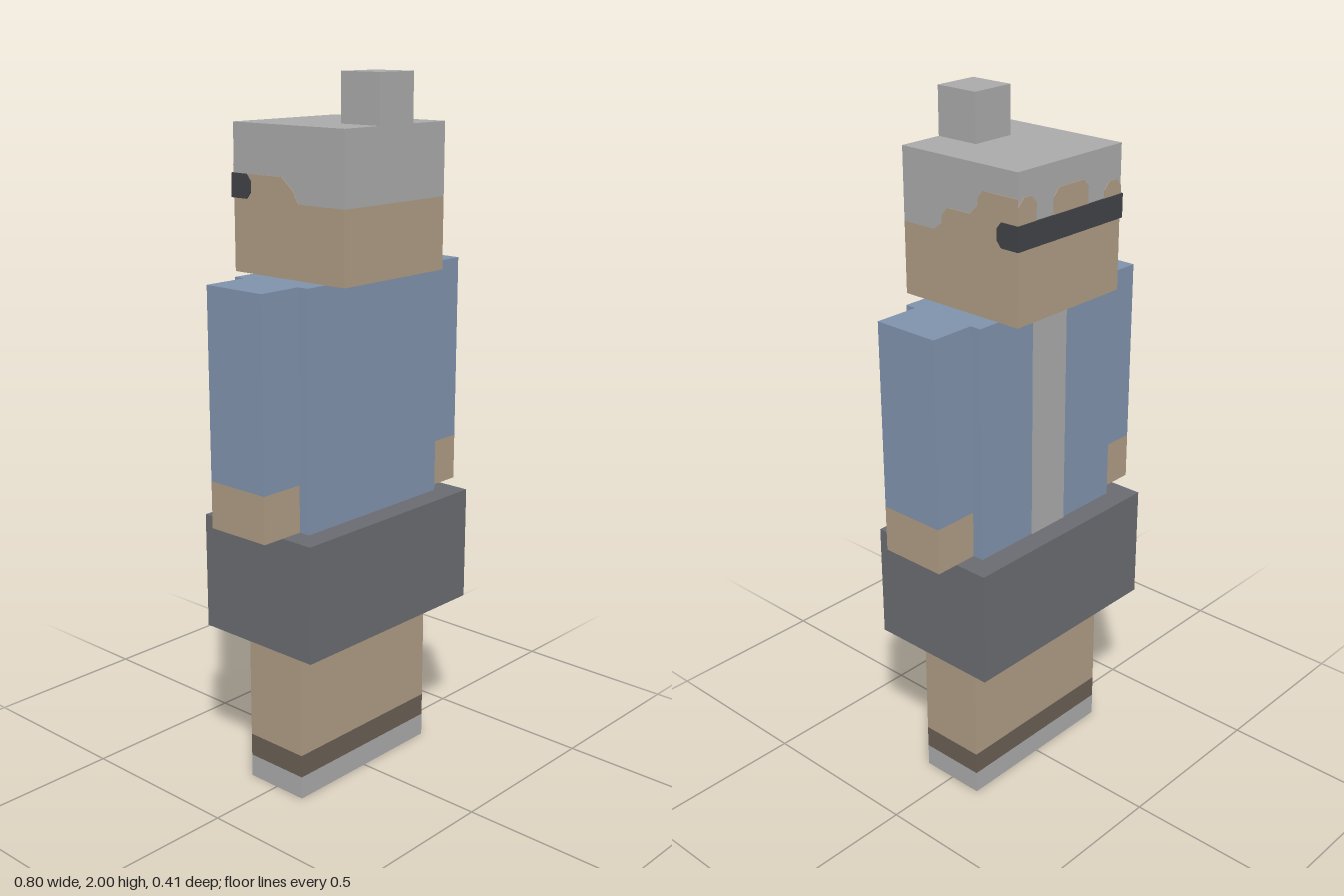
import * as THREE from 'three';

const mat = (name, color) => Object.assign(new THREE.MeshStandardMaterial({ color }), { name });

export function createModel() {
  const group = new THREE.Group();
  const grey = mat('grey', 0xa9a9a9);
  const skin = mat('skin', 0xae9b84);
  const blue = mat('blue cloth', 0x7f92ab);
  const charcoal = mat('charcoal cloth', 0x696b70);
  const brown = mat('dark brown', 0x695e53);
  const black = mat('blindfold black', 0x404246);

  // Box given by its x, y and z ranges
  const box = (name, material, [x0, x1], [y0, y1], [z0, z1]) => {
    const mesh = new THREE.Mesh(new THREE.BoxGeometry(x1 - x0, y1 - y0, z1 - z0), material);
    mesh.position.set((x0 + x1) / 2, (y0 + y1) / 2, (z0 + z1) / 2);
    mesh.name = name;
    group.add(mesh);
  };

  // Thin painted plate on a side of the head; outline is [across, height]
  const plate = (name, material, angle, depth, outline) => {
    const shape = new THREE.Shape(outline.map(([u, y]) => new THREE.Vector2(u, y)));
    const geometry = new THREE.ExtrudeGeometry(shape, { depth, bevelEnabled: false });
    geometry.translate(0, 0, 0.2);
    const mesh = new THREE.Mesh(geometry, material);
    mesh.rotation.y = angle;
    mesh.name = name;
    group.add(mesh);
  };

  const p = 1 / 15; // one grid step of the blocky figure
  const span = (n) => [-n * p, n * p];

  // Legs with socks and shoes
  box('shoes', grey, span(4), [0, p], span(1.5));
  box('socks', brown, span(4), [p, 2 * p], span(1.5));
  box('legs', skin, span(4), [2 * p, 7 * p], span(1.5));

  // Skirt and torso
  box('skirt', charcoal, span(5), [7 * p, 12 * p], span(3));
  box('torso', blue, span(4), [12 * p, 22 * p], span(2));
  box('shirtStripe', grey, span(1), [12 * p, 22 * p], [-2 * p - 0.003, -2 * p]);

  // Arms
  for (const [side, x] of [['left', [4 * p, 6 * p]], ['right', [-6 * p, -4 * p]]]) {
    box(side + 'Hand', skin, x, [12 * p, 14 * p], span(1.5));
    box(side + 'Sleeve', blue, x, [14 * p, 22 * p], span(1.5));
  }

  // Head and hair with a bun
  box('head', skin, span(3), [22 * p, 25 * p], span(3));
  box('hair', grey, span(3), [25 * p, 28 * p], span(3));
  box('hairBun', grey, span(1), [28 * p, 30 * p], [p, 3 * p]);

  // Skin showing below the hairline on both sides
  plate('leftTemple', skin, Math.PI / 2, 0.002, [
    [-0.09, 1.667], [0.2, 1.667], [0.2, 1.8], [0.085, 1.8], [0.067, 1.78], [0.067, 1.76],
    [0.04, 1.733], [-0.04, 1.733], [-0.06, 1.71], [-0.06, 1.69],
  ]);
  plate('rightTemple', skin, -Math.PI / 2, 0.002, [
    [-0.2, 1.667], [0.04, 1.667], [0.02, 1.7], [-0.02, 1.733], [-0.2, 1.733],
  ]);

  // Gaps in the fringe
  for (const [u0, u1, top] of [[-0.2, -0.133, 1.8], [-0.067, 0.067, 1.8], [0.133, 0.2, 1.775]]) {
    plate('foreheadGap', skin, Math.PI, 0.002, [
      [u0, 1.667], [u1, 1.667], [u1, top - 0.02], [u1 - 0.02, top], [u0 + 0.02, top], [u0, top - 0.02],
    ]);
  }

  // Blindfold wrapping round to the temples
  plate('blindfold', black, Math.PI, 0.005, [
    [-0.205, 1.667], [0.205, 1.667], [0.205, 1.733], [-0.205, 1.733],
  ]);
  for (const s of [1, -1]) {
    const end = [[0.2, 1.667], [0.2, 1.733], [0.148, 1.733], [0.133, 1.715], [0.133, 1.685], [0.148, 1.667]];
    plate('blindfoldEnd', black, s * Math.PI / 2, 0.005, end.map(([u, y]) => [s * u, y]));
  }

  return group;
}
